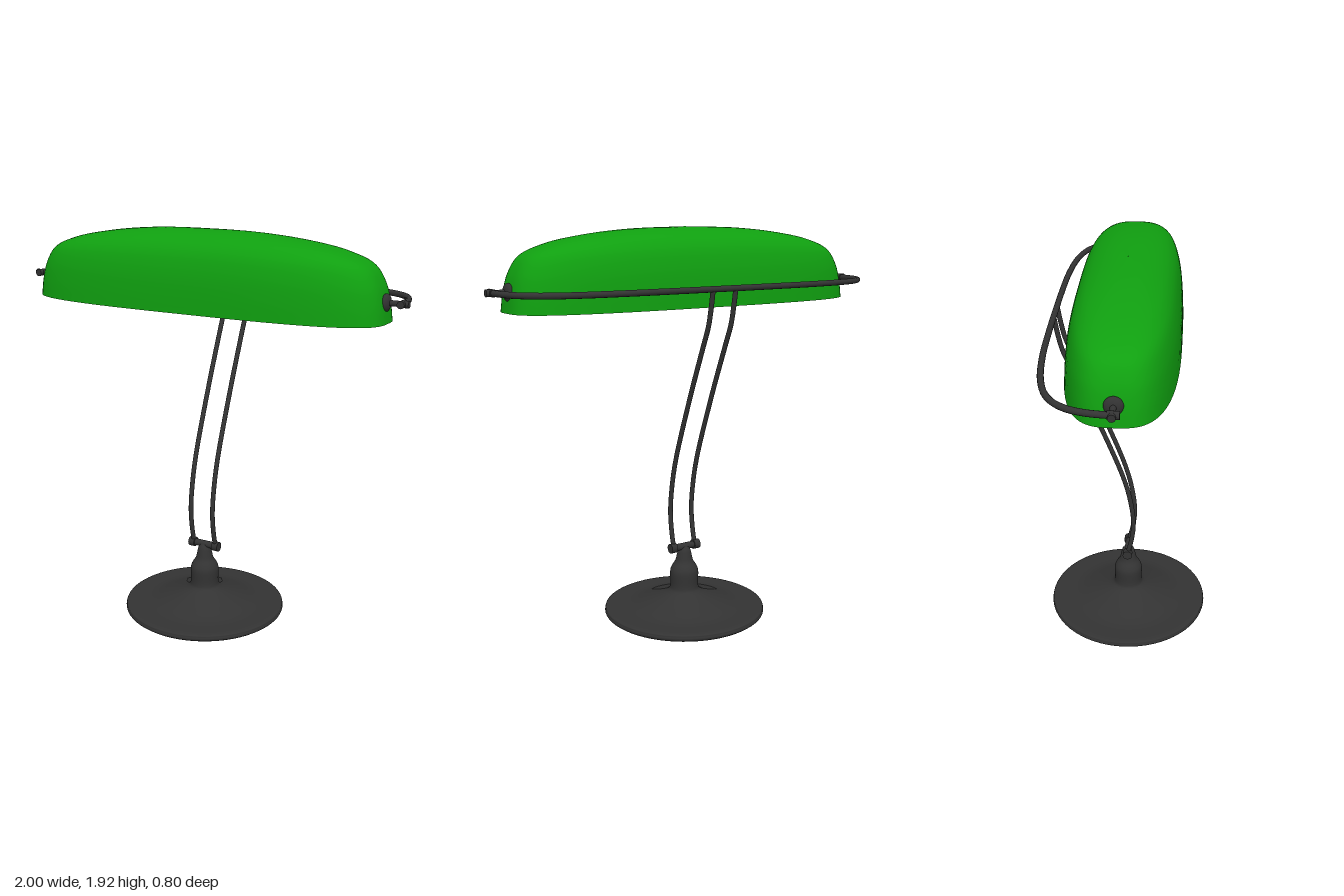
import * as THREE from 'three';

const metal = new THREE.MeshStandardMaterial({ color: 0x333333 });
const glass = new THREE.MeshStandardMaterial({ color: 0x10a010, side: THREE.DoubleSide });
const V = (x, y, z) => new THREE.Vector3(x, y, z);

// Open shade lofted from rounded plan rings; each row is [half length, y, half depth]
function shadeGeometry() {
  const rows = [
    [0.91, 1.56, 0.25], [0.897, 1.65, 0.245], [0.873, 1.73, 0.236], [0.825, 1.8, 0.218],
    [0.71, 1.85, 0.19], [0.54, 1.885, 0.147], [0.3, 1.911, 0.08], [0.004, 1.92, 0.001],
  ];
  const curve = new THREE.CatmullRomCurve3(rows.map((r) => V(...r)), false, 'centripetal');
  const rings = 40, segs = 96, pos = [], index = [];
  for (let j = 0; j <= rings; j++) {
    const p = curve.getPoint(j / rings);
    const n = 3.1 - 0.7 * (j / rings) ** 2;
    for (let i = 0; i < segs; i++) {
      const t = (i / segs) * Math.PI * 2, c = Math.cos(t), s = Math.sin(t);
      const r = (Math.abs(c) ** n + Math.abs(s) ** n) ** (-1 / n);
      pos.push(p.x * c * r, p.y, p.z * s * r);
      if (j === rings) continue;
      const a = j * segs + i, b = j * segs + ((i + 1) % segs);
      index.push(a, a + segs, b, b, a + segs, b + segs);
    }
  }
  const g = new THREE.BufferGeometry();
  g.setAttribute('position', new THREE.Float32BufferAttribute(pos, 3));
  g.setIndex(index);
  g.computeVertexNormals();
  return g;
}

export function createModel() {
  const model = new THREE.Group();
  model.name = 'bankerLamp';

  const add = (name, geometry, material = metal) => {
    const mesh = new THREE.Mesh(geometry, material);
    mesh.name = name;
    model.add(mesh);
    return mesh;
  };
  const tube = (name, points, radius, segs) =>
    add(name, new THREE.TubeGeometry(new THREE.CatmullRomCurve3(points), segs, radius, 12));
  // Cylinder lying along x
  const rod = (name, x, y, radius, length) => {
    const mesh = add(name, new THREE.CylinderGeometry(radius, radius, length, 24));
    mesh.rotation.z = Math.PI / 2;
    mesh.position.set(x, y, 0);
  };

  // Round foot flowing up into the stem
  const underside = add('baseUnderside', new THREE.CircleGeometry(0.385, 64));
  underside.rotation.x = Math.PI / 2;
  const profile = new THREE.SplineCurve([
    [0.385, 0], [0.4, 0.012], [0.4, 0.026], [0.385, 0.038], [0.28, 0.041], [0.2, 0.063],
    [0.12, 0.093], [0.08, 0.117], [0.07, 0.145], [0.071, 0.21], [0.062, 0.24],
    [0.045, 0.268], [0.037, 0.3], [0.031, 0.325], [0.02, 0.345],
  ].map((p) => new THREE.Vector2(...p)));
  add('base', new THREE.LatheGeometry(profile.getPoints(70), 64));

  // Hinge across the top of the stem
  rod('hingeBar', 0, 0.343, 0.017, 0.13);

  // Bowed rail behind the shade, carrying both pivots
  const half = [
    [0.972, 0.02], [0.97, -0.03], [0.96, -0.1], [0.935, -0.17], [0.89, -0.228],
    [0.82, -0.272], [0.7, -0.305], [0.5, -0.326], [0.25, -0.333],
  ];
  const rail = [
    ...half.map(([x, z]) => V(x, 1.65, z)), V(0, 1.65, -0.334),
    ...half.map(([x, z]) => V(-x, 1.65, z)).reverse(),
  ];
  tube('rail', rail, 0.014, 160);

  for (const [side, s] of [['left', 1], ['right', -1]]) {
    // Curved upright
    tube(side + 'Arm', [
      V(s * 0.062, 0.343, 0), V(s * 0.062, 0.43, 0.02), V(s * 0.062, 0.53, 0.03),
      V(s * 0.062, 0.66, 0.015), V(s * 0.062, 0.8, -0.02), V(s * 0.062, 1.13, -0.147),
      V(s * 0.062, 1.385, -0.257), V(s * 0.062, 1.48, -0.298), V(s * 0.062, 1.56, -0.318),
      V(s * 0.062, 1.65, -0.334),
    ], 0.0115, 80);
    rod(side + 'HingeCap', s * 0.067, 0.343, 0.024, 0.032);

    // Shade pivot: knob on the shade, axle, and collar at the rail end
    rod(side + 'Axle', s * 0.94, 1.65, 0.013, 0.12);
    rod(side + 'AxleTip', s * 0.986, 1.65, 0.016, 0.028);
    const knob = add(side + 'Knob', new THREE.SphereGeometry(0.04, 24, 16));
    knob.scale.x = 0.5;
    knob.position.set(s * 0.897, 1.65, 0);
    const collar = add(side + 'Collar', new THREE.CylinderGeometry(0.017, 0.017, 0.05, 20));
    collar.rotation.x = Math.PI / 2;
    collar.position.set(s * 0.971, 1.65, 0.005);
  }

  add('shade', shadeGeometry(), glass);
  return model;
}
